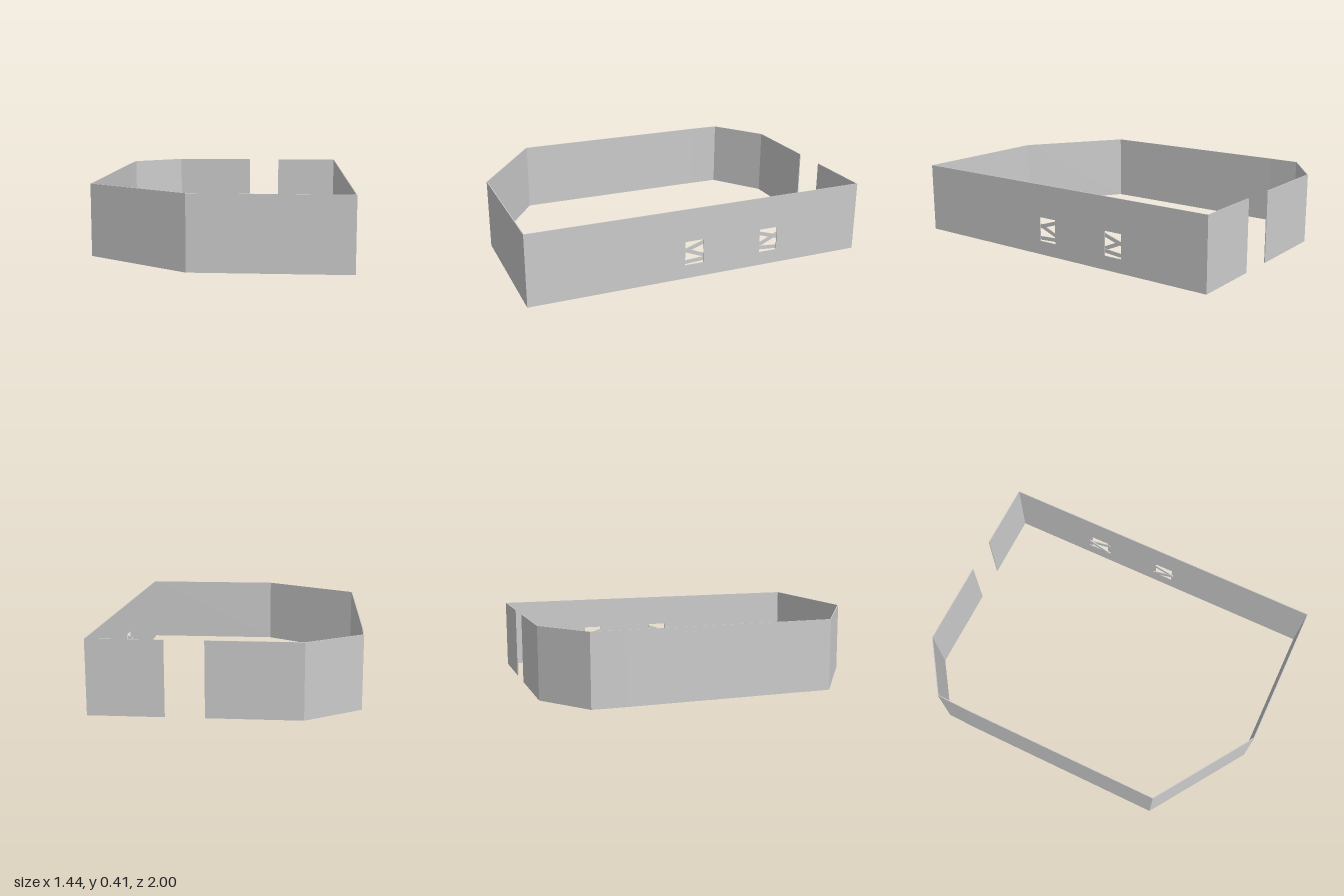
import * as THREE from 'three';

const H = 0.41, T = 0.005, X = 0.72;
const mat = new THREE.MeshStandardMaterial({ color: 0xcccccc, flatShading: true, side: THREE.DoubleSide });

// Upright wall band following a plan path of [x, z] points, thickened inward with mitred corners
function wallRun(name, points) {
  const p = points.map(([x, z]) => new THREE.Vector2(x, z));
  const normals = p.slice(1).map((q, i) => {
    const d = q.clone().sub(p[i]).normalize();
    return new THREE.Vector2(d.y, -d.x);
  });
  const inner = p.map((q, i) => {
    const a = normals[Math.max(i - 1, 0)], b = normals[Math.min(i, normals.length - 1)];
    return q.clone().addScaledVector(a.clone().add(b), T / (1 + a.dot(b)));
  });
  const geo = new THREE.ExtrudeGeometry(new THREE.Shape([...p, ...inner.reverse()]), { depth: H, bevelEnabled: false });
  geo.rotateX(Math.PI / 2).translate(0, H, 0);
  const mesh = new THREE.Mesh(geo, mat);
  mesh.name = name;
  return mesh;
}

function rectangle(path, u0, u1, v0, v1) {
  path.moveTo(u0, v0).lineTo(u1, v0).lineTo(u1, v1).lineTo(u0, v1).closePath();
  return path;
}

// Windows: centre z and boards as [centre y, tilt, length, z shift]
const windows = [
  { z: 0.048, boards: [[0.182, 0.32, 0.135, 0], [0.145, -0.38, 0.135, 0], [0.1, 0.05, 0.13, -0.01]] },
  { z: -0.415, boards: [[0.178, -0.3, 0.15, 0], [0.145, 0.42, 0.16, 0], [0.102, -0.08, 0.15, 0]] },
];

export function createModel() {
  const model = new THREE.Group();
  model.name = 'wallEnclosure';

  // Front, chamfered corners, long side and back, up to the doorway
  model.add(wallRun('mainWall', [
    [0.1, -1], [-0.41, -1], [-0.715, -0.785], [-X, -0.6],
    [-X, 0.615], [-0.145, 1], [X - T, 1],
  ]));
  // Short back wall on the other side of the doorway
  model.add(wallRun('shortBackWall', [[X - T, -1], [0.31, -1]]));

  // Long side wall with two window openings
  const side = rectangle(new THREE.Shape(), -1, 1, 0, H);
  for (const w of windows) {
    side.holes.push(rectangle(new THREE.Path(), -w.z - 0.056, -w.z + 0.056, 0.08, 0.22));
  }
  const sideGeo = new THREE.ExtrudeGeometry(side, { depth: T, bevelEnabled: false });
  sideGeo.rotateY(Math.PI / 2).translate(X - T, 0, 0);
  const sideWall = new THREE.Mesh(sideGeo, mat);
  sideWall.name = 'windowWall';
  model.add(sideWall);

  // Crooked boards nailed across the windows from inside
  windows.forEach((w, i) => {
    const group = new THREE.Group();
    group.name = `windowBoards${i + 1}`;
    w.boards.forEach(([y, tilt, length, dz], j) => {
      const board = new THREE.Mesh(new THREE.BoxGeometry(0.006, 0.021, length), mat);
      board.name = 'board';
      board.position.set(X - T - 0.003 - (j % 2) * 0.006, y, w.z + dz);
      board.rotation.x = tilt;
      group.add(board);
    });
    model.add(group);
  });
  return model;
}
